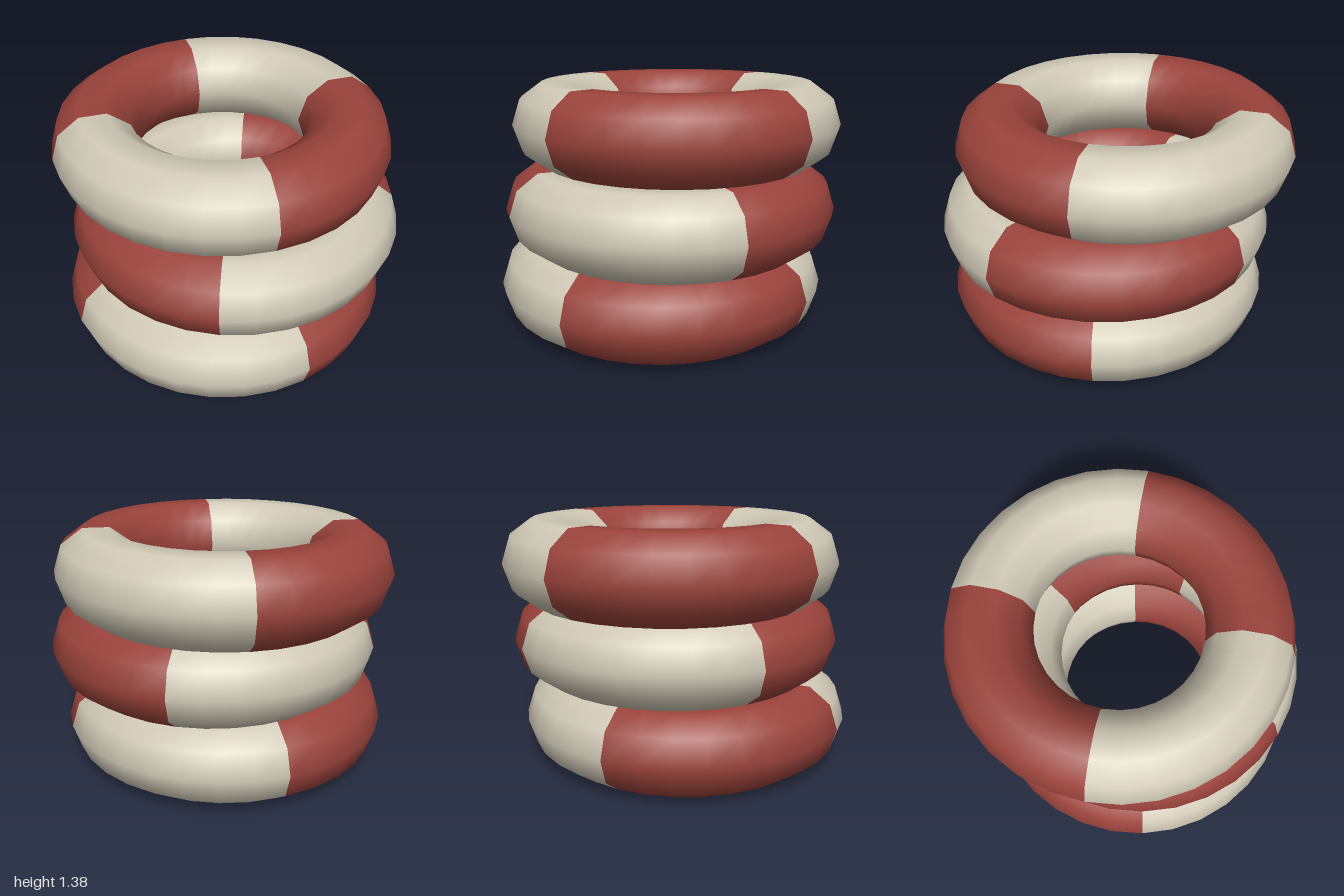
import * as THREE from 'three';

export function createModel() {
  const model = new THREE.Group();
  model.name = 'ringStack';

  const red = new THREE.MeshStandardMaterial({ color: 0x9a433b });
  red.name = 'faded red';
  const cream = new THREE.MeshStandardMaterial({ color: 0xd0c9b6 });
  cream.name = 'cream';

  const ringRadius = 0.704, tubeRadius = 0.241;
  // The ten-sided tube lies on a flat side
  const halfHeight = tubeRadius * Math.sin(THREE.MathUtils.degToRad(72));

  // One quarter of a ring, laid flat, running from +x towards +z
  const quarter = new THREE.TorusGeometry(ringRadius, tubeRadius, 10, 8, Math.PI / 2);
  quarter.rotateX(Math.PI / 2);

  // Loosely stacked rings: offset, and the angle where the first red quarter starts
  const rings = [
    { name: 'bottomRing', x: -0.03, z: 0.055, start: -27.2 },
    { name: 'middleRing', x: 0.035, z: 0.03, start: -82.7 },
    { name: 'topRing', x: -0.038, z: -0.055, start: -15.3 },
  ];

  rings.forEach(({ name, x, z, start }, level) => {
    const ring = new THREE.Group();
    ring.name = name;
    ring.position.set(x, halfHeight * (2 * level + 1), z);
    ring.rotation.y = -THREE.MathUtils.degToRad(start);

    // Alternating red and cream quarters
    for (let i = 0; i < 4; i++) {
      const part = new THREE.Mesh(quarter, i % 2 ? cream : red);
      part.name = i % 2 ? 'creamQuarter' : 'redQuarter';
      part.rotation.y = -i * Math.PI / 2;
      ring.add(part);
    }
    model.add(ring);
  });

  return model;
}
